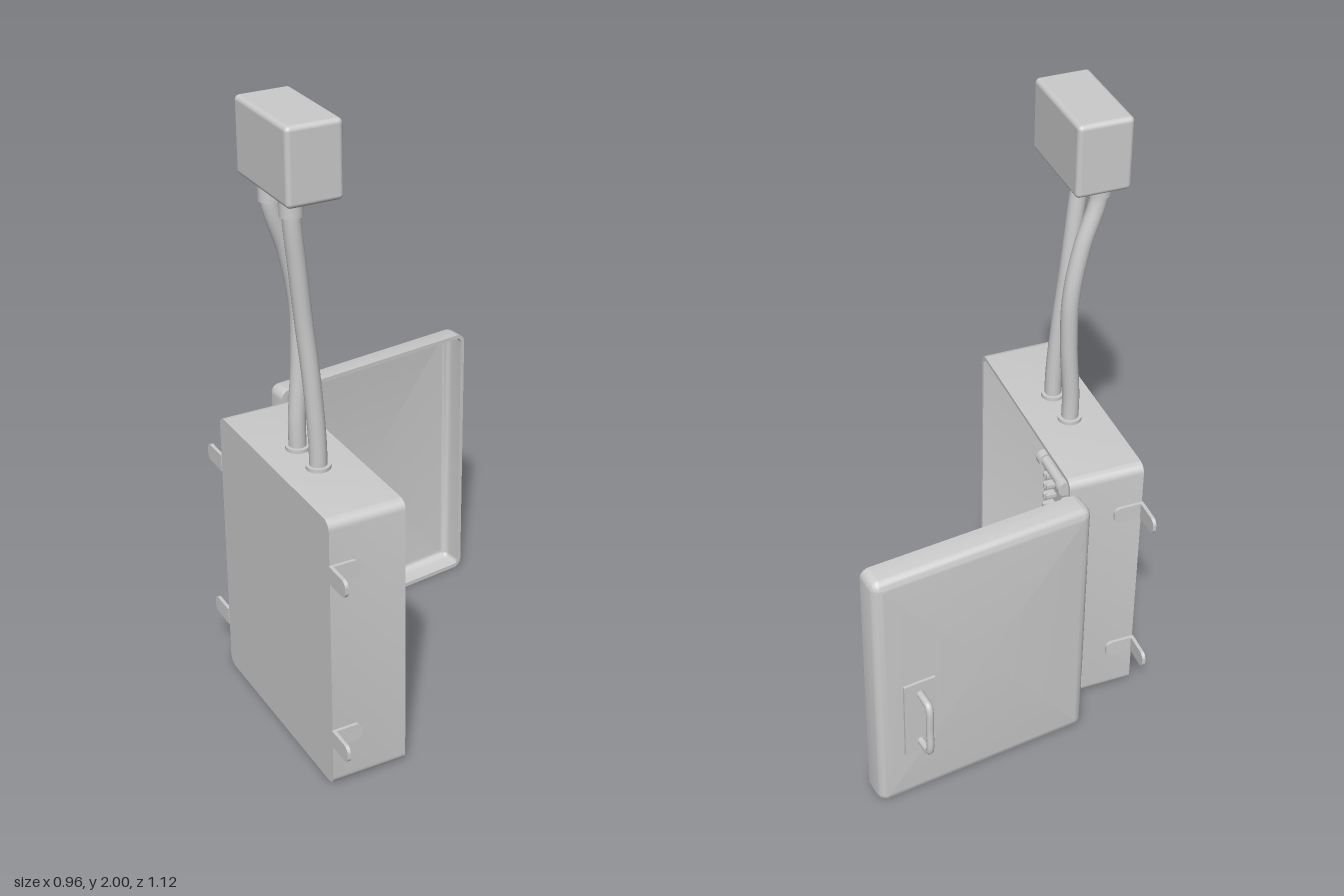
import * as THREE from 'three';
import { toCreasedNormals } from 'three/addons/utils/BufferGeometryUtils.js';
import { RoundedBoxGeometry } from 'three/addons/geometries/RoundedBoxGeometry.js';

const material = new THREE.MeshStandardMaterial({ color: 0xcccccc });

function add(parent, name, geometry, x = 0, y = 0, z = 0, rx = 0, ry = 0, rz = 0) {
  const mesh = new THREE.Mesh(geometry, material);
  mesh.name = name;
  mesh.position.set(x, y, z);
  mesh.rotation.set(rx, ry, rz);
  parent.add(mesh);
  return mesh;
}

function subgroup(parent, name) {
  const g = new THREE.Group();
  g.name = name;
  parent.add(g);
  return g;
}

const box = (w, h, d) => new THREE.BoxGeometry(w, h, d);
const cyl = (r, h, top = r) => new THREE.CylinderGeometry(top, r, h, 24);

function tube(points, r, steps = 32) {
  const curve = new THREE.CatmullRomCurve3(points.map(p => new THREE.Vector3(...p)));
  return new THREE.TubeGeometry(curve, steps, r, 16);
}

// Rounded rectangle section swept through [inset, z] steps; a null inset closes at the centre
function tray(hw, hh, radius, profile) {
  const pos = [], index = [], n = 32;
  for (const [inset, z] of profile) {
    for (let j = 0; j < n; j++) {
      if (inset === null) { pos.push(0, 0, z); continue; }
      const corner = Math.floor(j / 8);
      const a = (corner + (j % 8) / 7) * Math.PI / 2;
      const r = Math.max(radius - inset, 0.006);
      const sx = corner === 0 || corner === 3 ? 1 : -1, sy = corner < 2 ? 1 : -1;
      pos.push(sx * (hw - inset - r) + r * Math.cos(a), sy * (hh - inset - r) + r * Math.sin(a), z);
    }
  }
  for (let i = 0; i < profile.length - 1; i++) {
    for (let j = 0; j < n; j++) {
      const a = i * n + j, b = i * n + (j + 1) % n, c = a + n, d = b + n;
      if (profile[i][0] !== null) index.push(a, c, b);
      if (profile[i + 1][0] !== null) index.push(b, c, d);
    }
  }
  const g = new THREE.BufferGeometry();
  g.setAttribute('position', new THREE.Float32BufferAttribute(pos, 3));
  g.setIndex(index);
  return toCreasedNormals(g, 0.6);
}

// Strip along +x with a rounded far end, centred on y
function strip(length, height, thick) {
  const h = height / 2, r = h * 0.75, s = new THREE.Shape();
  s.moveTo(0, -h);
  s.lineTo(length - r, -h);
  s.absarc(length - r, -h + r, r, -Math.PI / 2, 0, false);
  s.absarc(length - r, h - r, r, 0, Math.PI / 2, false);
  s.lineTo(0, h);
  return new THREE.ExtrudeGeometry(s, { depth: thick, bevelEnabled: false });
}

function buildSwitchgear(cab) {
  // Fuse board
  const fuses = subgroup(cab, 'fuseBoard');
  add(fuses, 'fusePanel', box(0.29, 0.477, 0.014), -0.248, 0.506, -0.461);
  add(fuses, 'terminalCover', new RoundedBoxGeometry(0.264, 0.123, 0.04, 2, 0.008), -0.252, 0.668, -0.437);
  for (const u of [-0.325, -0.172]) {
    for (let i = 0; i < 5; i++) {
      const v = 0.49 - i * 0.0445;
      add(fuses, 'fuseClip', box(0.03, 0.012, 0.04), u, v, -0.437);
      add(fuses, 'fuseClipLip', box(0.012, 0.018, 0.014), u, v, -0.418);
    }
    add(fuses, 'fuseCap', cyl(0.027, 0.03), u + (u < -0.25 ? -0.006 : 0.006), 0.517, -0.415, 0, 0, Math.PI / 2);
  }
  add(fuses, 'fuseBody', cyl(0.019, 0.15), -0.248, 0.517, -0.415, 0, 0, Math.PI / 2);

  // Knife switch
  const sw = subgroup(cab, 'knifeSwitch');
  add(sw, 'switchPanel', box(0.285, 0.515, 0.014), 0.072, 0.488, -0.461);
  for (const s of [-1, 1]) {
    const u = 0.071 + s * 0.08;
    add(sw, 'blade', box(0.014, 0.24, 0.03), u, 0.585, -0.405);
    add(sw, 'pivotLug', cyl(0.038, 0.028), 0.071 + s * 0.091, 0.487, -0.41, 0, 0, Math.PI / 2);
    add(sw, 'pivotBase', box(0.028, 0.06, 0.05), 0.071 + s * 0.091, 0.487, -0.436);
    for (const v of [0.313, 0.645]) for (const e of [-1, 1]) {
      add(sw, 'contactClip', box(0.009, 0.03, 0.075), u + e * 0.0115, v, -0.42);
    }
  }
  add(sw, 'upperCrossbar', box(0.174, 0.014, 0.03), 0.071, 0.7, -0.405);
  add(sw, 'lowerCrossbar', box(0.16, 0.012, 0.03), 0.071, 0.585, -0.405);
  add(sw, 'bridgePlate', box(0.15, 0.11, 0.012), 0.071, 0.642, -0.405);
  const grip = [[0, 0], [0.022, 0], [0.022, 0.012], [0.014, 0.025], [0.018, 0.06], [0.027, 0.13], [0.025, 0.15], [0, 0.155]];
  add(sw, 'switchHandle', toCreasedNormals(new THREE.LatheGeometry(grip.map(p => new THREE.Vector2(...p)), 24), 0.7),
    0.071, 0.715, -0.405);

  // Wires from the conduits to the fuse board
  for (const [u0, u1] of [[-0.16, -0.285], [-0.032, -0.232]]) {
    const m = u0 + (u1 - u0) * 0.5;
    add(cab, 'wire', tube([[u0, 0.9, -0.362], [u0 - 0.005, 0.865, -0.37], [m, 0.815, -0.41],
      [u1 + 0.012, 0.775, -0.437], [u1, 0.72, -0.443]], 0.01), 0, 0, 0);
  }
}

function buildHinges(parent) {
  for (const y of [0.738, 0.195]) {
    const h = subgroup(parent, 'hinge');
    add(h, 'hingePin', cyl(0.008, 0.12), -0.257, y, -0.287);
    for (const s of [-1, 1]) {
      add(h, 'hingeKnuckle', new THREE.CapsuleGeometry(0.016, 0.018, 6, 16), -0.257, y + s * 0.037, -0.285);
      add(h, 'hingeArm', tube([[-0.257, y + s * 0.016, -0.285], [-0.262, y + s * 0.016, -0.315],
        [-0.252, y + s * 0.016, -0.345], [-0.248, y + s * 0.016, -0.385]], 0.007, 16));
    }
    add(h, 'hingeLeaf', box(0.008, 0.055, 0.05), -0.246, y, -0.365);
  }
}

function buildDoor(parent) {
  const door = subgroup(parent, 'door');
  door.position.set(-0.245, 0, -0.318);
  door.rotation.y = 0.1266;
  const round = (r, inset, z, outward) => [0, 1, 2, 3, 4, 5, 6].map(i => {
    const a = (outward ? i : 6 - i) / 6 * Math.PI / 2;
    return [inset + r * (1 - Math.cos(a)), z - r * Math.sin(a)];
  });
  add(door, 'doorShell', tray(0.365, 0.4575, 0.03, [
    [null, -0.073], ...round(0.025, 0.014, -0.048, false), [0.014, 0], [0, 0],
    ...round(0.035, 0, -0.05, true), [null, -0.085]]), 0.365, 0.4575, 0);

  // Pull handle on a backing plate
  add(door, 'handlePlate', box(0.105, 0.29, 0.012), 0.592, 0.337, -0.088);
  add(door, 'pullHandle', tube([[0, -0.1, 0], [0, -0.1, -0.035], [0, -0.096, -0.058], [0, -0.078, -0.066],
    [0, 0, -0.066], [0, 0.078, -0.066], [0, 0.096, -0.058], [0, 0.1, -0.035], [0, 0.1, 0]], 0.012, 64),
  0.592, 0.337, -0.09);
}

export function createModel() {
  const root = new THREE.Group();
  root.name = 'electricalCabinet';

  // Cabinet, built facing +z and turned so that its opening faces +x
  const cab = subgroup(root, 'cabinet');
  cab.rotation.y = Math.PI / 2;
  add(cab, 'cabinetShell', tray(0.365, 0.4575, 0.03, [
    [null, -0.468], [0.012, -0.468], [0.012, -0.235], [0, -0.235], [0, -0.48], [null, -0.48]]), -0.095, 0.4575, 0);
  buildSwitchgear(cab);

  // Wall brackets on both sides
  for (const y of [0.747, 0.177]) for (const turn of [0, Math.PI]) {
    const bracket = subgroup(cab, 'wallBracket');
    bracket.position.set(-0.095, y, 0);
    bracket.rotation.z = turn;
    add(bracket, 'bracketTab', strip(0.1, 0.056, 0.011), 0.365, 0, -0.483);
    add(bracket, 'bracketPlate', strip(0.098, 0.056, 0.01), 0.375, 0, -0.483, 0, -Math.PI / 2, 0);
  }

  buildHinges(root);
  buildDoor(root);

  // Junction box and the two conduits that feed the cabinet
  add(root, 'junctionBox', new RoundedBoxGeometry(0.172, 0.23, 0.325, 4, 0.015), -0.396, 1.885, 0.097);
  for (const [z, bulge] of [[0.166, 0], [0.032, 0.045]]) {
    const drift = bulge ? -0.008 : -0.01;
    add(root, 'conduit', tube([[-0.427, 1.78, z], [-0.426, 1.7, z], [-0.41 + bulge * 0.7, 1.55, z + drift / 2],
      [-0.392 + bulge, 1.38, z + drift], [-0.375 + bulge * 0.6, 1.2, z + drift / 2],
      [-0.363, 1.0, z], [-0.362, 0.89, z]], 0.027, 48));
    add(root, 'upperCollar', cyl(0.034, 0.06), -0.427, 1.745, z);
    add(root, 'lowerCollar', cyl(0.038, 0.03), -0.362, 0.912, z);
  }
  return root;
}
